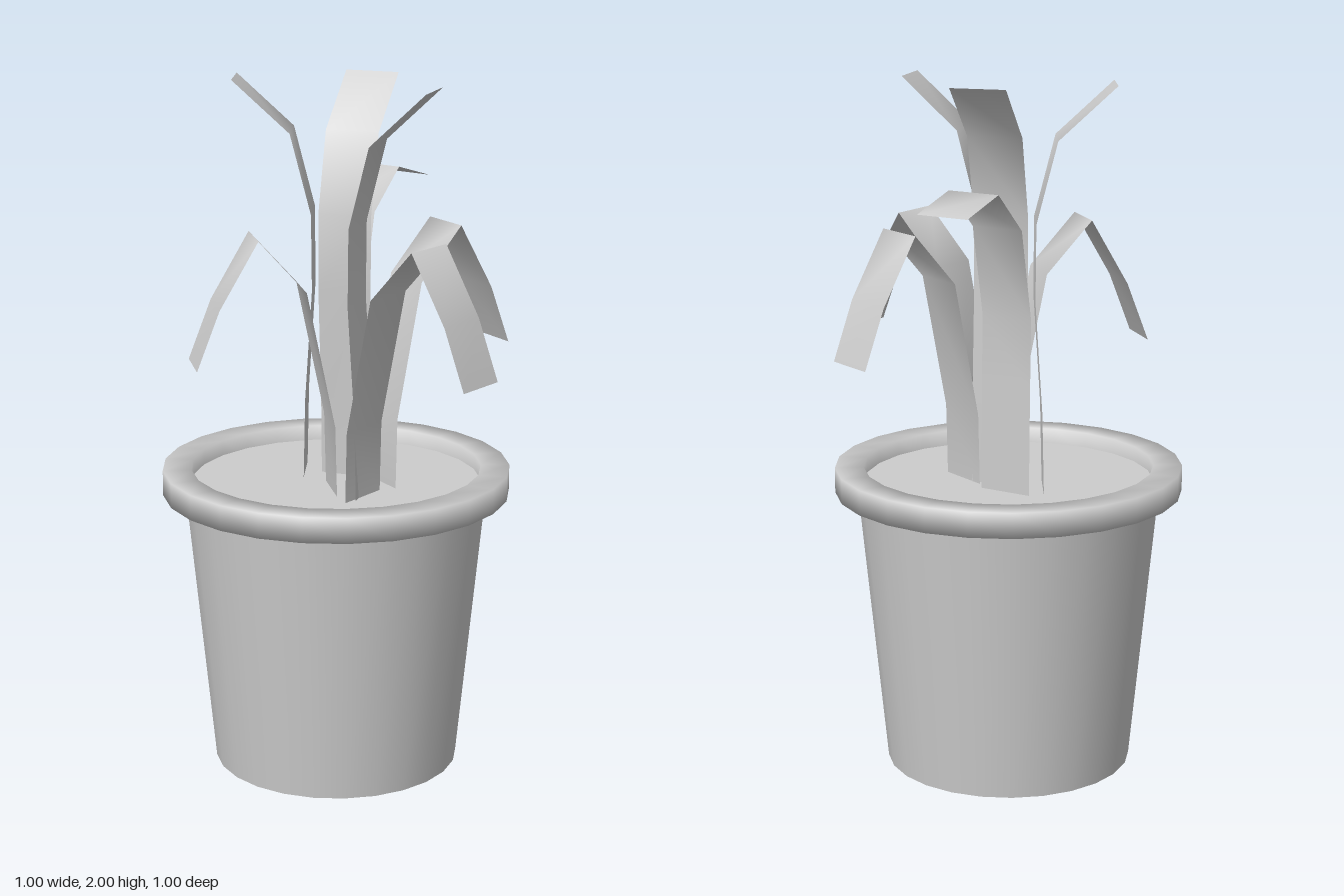
import * as THREE from 'three';

const SIDES = 25;
const SOIL_Y = 0.845;
const LEAF_WIDTH = 0.16;

// Leaf profiles: [distance outwards, height]
const DROOPING = [[0, SOIL_Y], [0.005, 1.05], [0.085, 1.44], [0.22, 1.59], [0.33, 1.4], [0.395, 1.23]];
const UPRIGHT = [[0.025, SOIL_Y], [0.02, 1.08], [0, 1.4], [0.002, 1.62], [0.06, 1.85], [0.22, 2]];
const ARCHING = [[0.04, SOIL_Y], [0.035, 1.15], [0.03, 1.35], [0.08, 1.61], [0.2, 1.725], [0.355, 1.68]];

// Each leaf: name, profile, base x and z, outward direction x and z, reach
const LEAVES = [
  ['rightDroopingLeaf', DROOPING, -0.008, 0.09, -0.97, 0.26, 1],
  ['backDroopingLeaf', DROOPING, 0.13, 0.012, 0.82, -0.57, 0.98],
  ['frontDroopingLeaf', DROOPING, 0.085, 0.16, 0.82, 0.57, 1.015],
  ['leftUprightLeaf', UPRIGHT, 0.065, 0.117, 0.965, 0.27, 1],
  ['backUprightLeaf', UPRIGHT, 0.022, -0.027, 0.31, -0.95, 1],
  ['rightUprightLeaf', UPRIGHT, -0.07, -0.095, -1, 0, 1.02],
  ['archingLeaf', ARCHING, -0.008, -0.105, 0.55, -0.83, 1],
];

// Flat strip bent along a profile
function ribbon(profile, reach) {
  const geometry = new THREE.PlaneGeometry(LEAF_WIDTH, 1, 1, profile.length - 1);
  const position = geometry.attributes.position;
  for (let i = 0; i < position.count; i++) {
    const [out, height] = profile[Math.floor(i / 2)];
    position.setXYZ(i, position.getX(i), height, out * reach);
  }
  geometry.computeVertexNormals();
  return geometry;
}

export function createModel() {
  const model = new THREE.Group();
  model.name = 'pottedPlant';
  const grey = new THREE.MeshStandardMaterial({ color: 0xcccccc, side: THREE.DoubleSide });
  grey.name = 'light grey';

  const add = (name, geometry) => {
    const mesh = new THREE.Mesh(geometry, grey);
    mesh.name = name;
    model.add(mesh);
    return mesh;
  };

  // Tapered pot, closed at the soil level inside the rim
  const pot = new THREE.CylinderGeometry(0.44, 0.358, SOIL_Y, SIDES, 1, false, Math.PI);
  add('pot', pot).position.y = SOIL_Y / 2;

  // Square-section rim with softly shaded corners
  const rimProfile = [[0.42, 0.817], [0.503, 0.817], [0.503, 0.89], [0.42, 0.89], [0.42, 0.817]]
    .map(([r, y]) => new THREE.Vector2(r, y));
  add('rim', new THREE.LatheGeometry(rimProfile, SIDES, Math.PI));

  // Leaves
  for (const [name, profile, x, z, dx, dz, reach] of LEAVES) {
    const leaf = add(name, ribbon(profile, reach));
    leaf.position.set(x, 0, z);
    leaf.rotation.y = Math.atan2(dx, dz);
  }
  return model;
}
